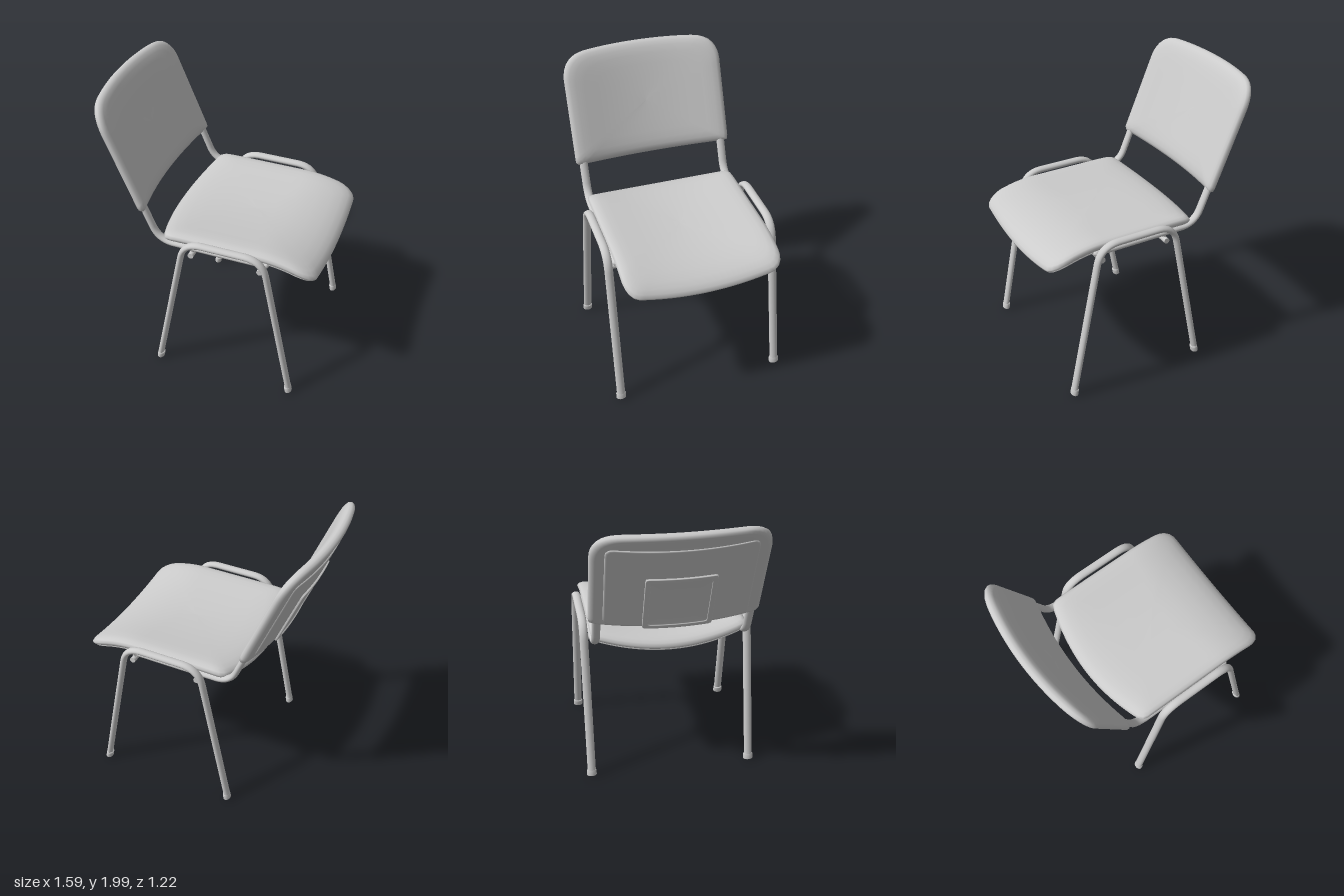
import * as THREE from 'three';

const material = new THREE.MeshStandardMaterial({ color: 0xcccccc });

function add(parent, name, geometry) {
  const mesh = new THREE.Mesh(geometry, material);
  mesh.name = name;
  parent.add(mesh);
  return mesh;
}

// Closed padded solid: the outline is scaled along a (scale, height) profile
// running from the top centre over the rim to the bottom centre, then bent.
function cushion(shape, centre, profile, bend) {
  const outline = shape.getSpacedPoints(112).slice(0, -1);
  const n = outline.length, positions = [], index = [];
  profile.forEach(([s, h], i) => outline.forEach((p, j) => {
    const a = centre[0] + (p.x - centre[0]) * s;
    const b = centre[1] + (p.y - centre[1]) * s;
    positions.push(...bend(a, b, h));
    if (i < profile.length - 1) {
      const k = (j + 1) % n, r = i * n, q = r + n;
      index.push(r + j, q + j, q + k, r + j, q + k, r + k);
    }
  }));
  const g = new THREE.BufferGeometry();
  g.setAttribute('position', new THREE.Float32BufferAttribute(positions, 3));
  g.setIndex(index);
  g.computeVertexNormals();
  return g;
}

// Rectangle with slightly rounded corners
function roundedRect(x0, y0, x1, y1, r) {
  const s = new THREE.Shape();
  s.moveTo(x0 + r, y0).lineTo(x1 - r, y0).quadraticCurveTo(x1, y0, x1, y0 + r);
  s.lineTo(x1, y1 - r).quadraticCurveTo(x1, y1, x1 - r, y1);
  s.lineTo(x0 + r, y1).quadraticCurveTo(x0, y1, x0, y1 - r);
  s.lineTo(x0, y0 + r).quadraticCurveTo(x0, y0, x0 + r, y0);
  return s;
}

// Oval steel tube through corner points, with rounded bends
function bentTube(points, bendLength, z) {
  const pts = points.map(([x, y]) => new THREE.Vector3(x, y, 0));
  const path = new THREE.CurvePath();
  let from = pts[0];
  for (let i = 1; i < pts.length - 1; i++) {
    const before = pts[i - 1].clone().sub(pts[i]).setLength(bendLength).add(pts[i]);
    const after = pts[i + 1].clone().sub(pts[i]).setLength(bendLength).add(pts[i]);
    path.add(new THREE.LineCurve3(from, before));
    path.add(new THREE.QuadraticBezierCurve3(before, pts[i], after));
    from = after;
  }
  path.add(new THREE.LineCurve3(from, pts[pts.length - 1]));
  return new THREE.TubeGeometry(path, 90, 0.021, 16).scale(1, 1, 1.4).translate(0, 0, z);
}

// Seat surface: dished across the width, falling away at the front edge
function seatBend(x, b, h) {
  const dish = 0.06 * (1 - (b / 0.54) ** 2);
  const front = 0.095 * (Math.max(0, x - 0.4) / 0.4) ** 2;
  const rear = 0.015 * (Math.max(0, -0.1 - x) / 0.25) ** 2;
  return [x, 1.063 + h - dish - front - rear, -b];
}

// Backrest surface: reclined plane, bowed backwards in the middle
function backBend(a, v, h) {
  const w = h + 0.075 * (a / 0.57) ** 2;
  return [-0.485 - 0.386 * v + 0.922 * w, 1.237 + 0.922 * v + 0.386 * w, -a];
}

export function createModel() {
  const chair = new THREE.Group();
  chair.name = 'chair';

  // Seat pad and its underside shell
  const seat = new THREE.Shape();
  seat.moveTo(-0.27, -0.5).quadraticCurveTo(-0.26, -0.54, -0.2, -0.54);
  seat.lineTo(0.68, -0.54).quadraticCurveTo(0.78, -0.53, 0.79, -0.46);
  seat.quadraticCurveTo(0.81, 0, 0.79, 0.46).quadraticCurveTo(0.78, 0.53, 0.68, 0.54);
  seat.lineTo(-0.2, 0.54).quadraticCurveTo(-0.26, 0.54, -0.27, 0.5);
  seat.quadraticCurveTo(-0.43, 0, -0.27, -0.5);
  add(chair, 'seatPad', cushion(seat, [0.22, 0], [
    [0, 0.078], [0.2, 0.078], [0.4, 0.078], [0.6, 0.078], [0.76, 0.077], [0.87, 0.073],
    [0.94, 0.064], [0.98, 0.05], [1, 0.032], [0.99, 0.014], [0.965, 0.003], [0.93, 0],
    [0.7, 0], [0.45, 0], [0.2, 0], [0, 0]], seatBend));
  add(chair, 'seatShell', cushion(seat, [0.22, 0], [
    [0, 0.005], [0.3, 0.005], [0.6, 0.005], [0.965, 0.008], [0.965, -0.005], [0.96, -0.008],
    [0.8, -0.008], [0.55, -0.008], [0.3, -0.008], [0, -0.008]], seatBend));

  // Backrest pad with straight foot and arched top
  const back = new THREE.Shape();
  back.moveTo(-0.55, 0).lineTo(0.55, 0).quadraticCurveTo(0.57, 0, 0.57, 0.02);
  back.lineTo(0.57, 0.61).bezierCurveTo(0.56, 0.72, 0.5, 0.77, 0.4, 0.785);
  back.quadraticCurveTo(0.22, 0.805, 0, 0.805).quadraticCurveTo(-0.22, 0.805, -0.4, 0.785);
  back.bezierCurveTo(-0.5, 0.77, -0.56, 0.72, -0.57, 0.61);
  back.lineTo(-0.57, 0.02).quadraticCurveTo(-0.57, 0, -0.55, 0);
  add(chair, 'backrestPad', cushion(back, [0, 0.38], [
    [0, 0.08], [0.2, 0.08], [0.4, 0.08], [0.6, 0.08], [0.76, 0.079], [0.87, 0.074],
    [0.94, 0.065], [0.98, 0.053], [1, 0.035], [0.995, 0.017], [0.975, 0.006], [0.94, 0.002],
    [0.88, 0.006], [0.7, 0.008], [0.45, 0.008], [0.2, 0.008], [0, 0.008]], backBend));

  // Rear cover of the backrest, with a raised frame in its lower middle
  add(chair, 'backrestCover', cushion(roundedRect(-0.48, 0.02, 0.48, 0.69, 0.05), [0, 0.35], [
    [0, 0.015], [0.5, 0.015], [1, 0.015], [1, 0.003], [0.985, 0], [0.97, 0],
    [0.7, 0], [0.45, 0], [0.2, 0], [0, 0]], backBend));
  add(chair, 'backrestFrame', cushion(roundedRect(-0.23, 0.005, 0.23, 0.46, 0.02), [0, 0.2], [
    [0, 0.01], [0.5, 0.01], [1, 0.01], [1, -0.01], [0.985, -0.013], [0.86, -0.013],
    [0.85, -0.01], [0.85, -0.003], [0.5, -0.003], [0, -0.003]], backBend));

  // Mirrored side frames
  for (const [side, sign] of [['left', -1], ['right', 1]]) {
    const frame = new THREE.Group();
    frame.name = side + 'Frame';
    chair.add(frame);
    add(frame, 'legs', bentTube(
      [[-0.307, 0.02], [-0.095, 1.119], [0.455, 1.119], [0.672, 0.02]], 0.13, sign * 0.575));
    add(frame, 'seatRailAndBackUpright', bentTube(
      [[0.46, 1.045], [-0.297, 1.045], [-0.511, 1.557]], 0.11, sign * 0.515));
    const end = add(frame, 'railEnd', new THREE.SphereGeometry(0.021, 16, 10));
    end.scale.z = 1.4;
    end.position.set(0.46, 1.045, sign * 0.515);

    // Rubber feet
    for (const [x, tilt] of [[-0.307, -0.19], [0.672, 0.19]]) {
      const profile = [[0, 0], [0.022, 0], [0.025, 0.005], [0.025, 0.04], [0.021, 0.048], [0, 0.048]];
      const foot = add(frame, 'foot', new THREE.LatheGeometry(
        profile.map(p => new THREE.Vector2(...p)), 16));
      foot.geometry.scale(1, 1, 1.38);
      foot.position.set(x, 0.004, sign * 0.575);
      foot.rotation.z = tilt;
    }
  }

  // Cross bars under the seat
  for (const x of [-0.06, 0.425]) {
    const bar = add(chair, 'crossBar', new THREE.CylinderGeometry(0.02, 0.02, 1.1, 16));
    bar.rotation.x = Math.PI / 2;
    bar.position.set(x, 0.993, 0);
  }
  // Short brackets from the cross bars up to the side rails
  for (const x of [-0.06, 0.425]) for (const z of [-0.515, 0.515]) {
    const bracket = add(chair, 'barBracket', new THREE.CylinderGeometry(0.012, 0.012, 0.05, 12));
    bracket.position.set(x, 1.018, z);
  }
  return chair;
}
